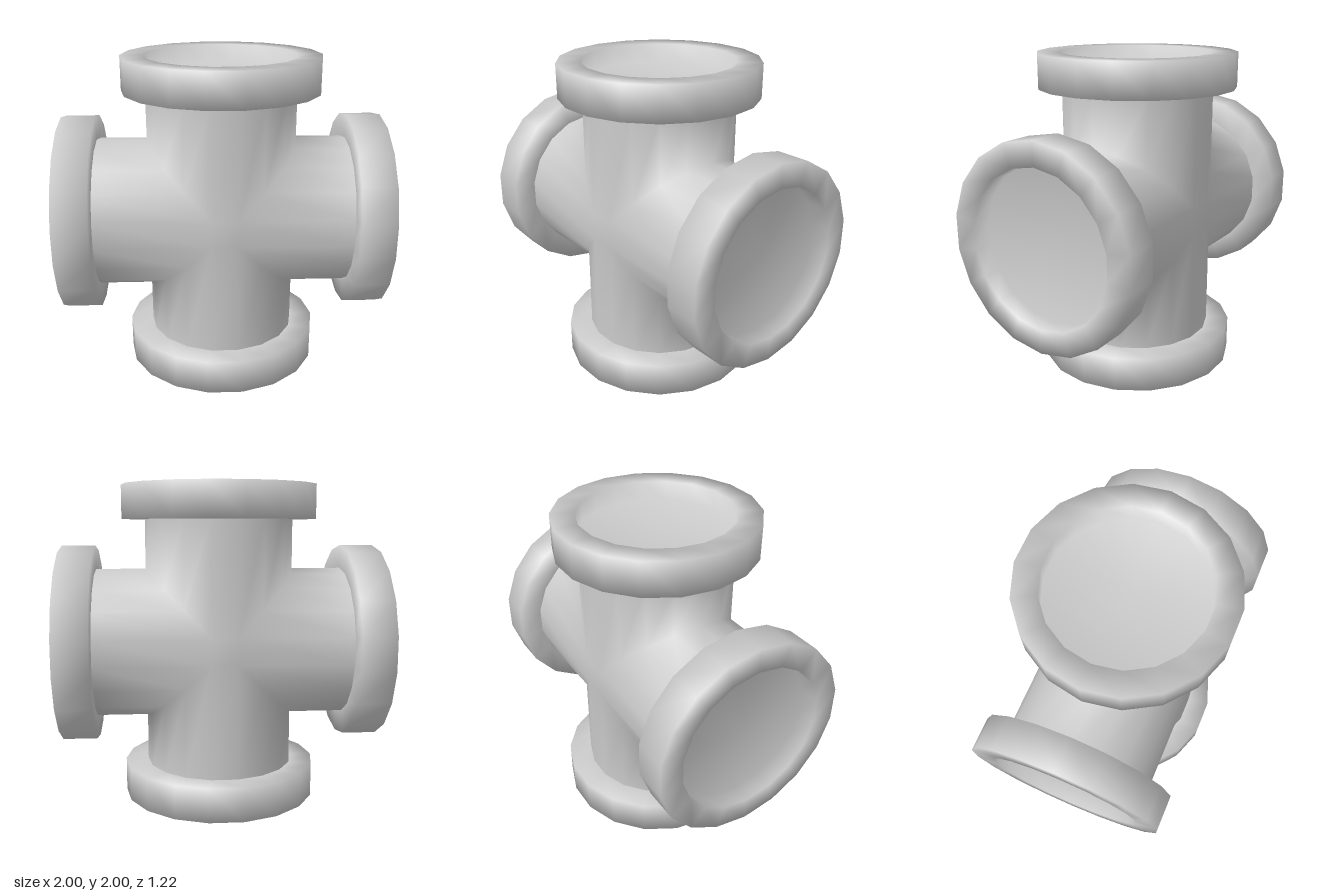
import * as THREE from 'three';
import { mergeGeometries, mergeVertices } from 'three/addons/utils/BufferGeometryUtils.js';

const SIDES = 18;
const PIPE_R = 0.473;
const COLLAR_R = 0.62;
const COLLAR_BACK = 0.787;
const CAP = 0.88; // height of the recessed cap inside each collar

// Collar: back ring, outer wall, front rim, recess wall and cap
function collarGeometry() {
  const profile = [
    [PIPE_R, COLLAR_BACK], [COLLAR_R, COLLAR_BACK], [COLLAR_R, 1],
    [PIPE_R, 1], [PIPE_R, CAP], [0, CAP],
  ].map(([r, y]) => new THREE.Vector2(r, y));
  return new THREE.LatheGeometry(profile, SIDES, Math.PI / 2);
}

// One arm of the cross, its inner end mitred against its neighbours
function armGeometry() {
  const geo = new THREE.CylinderGeometry(
    PIPE_R, PIPE_R, COLLAR_BACK, SIDES, 1, true, Math.PI / 2);
  geo.translate(0, COLLAR_BACK / 2, 0);
  const p = geo.attributes.position;
  for (let i = 0; i < p.count; i++) {
    if (p.getY(i) < 0.01) p.setY(i, Math.abs(p.getX(i)));
  }
  return geo;
}

// Four arms and the small flats at the crossing, welded into one smooth skin
function crossGeometry() {
  const parts = [];
  for (let i = 0; i < 4; i++) parts.push(armGeometry().rotateZ(i * Math.PI / 2));
  const half = Math.PI / SIDES;
  const flat = 2 * PIPE_R * Math.sin(half);
  for (const turn of [0, Math.PI]) {
    parts.push(new THREE.PlaneGeometry(flat, flat)
      .translate(0, 0, PIPE_R * Math.cos(half)).rotateY(turn));
  }
  const merged = mergeGeometries(parts);
  merged.deleteAttribute('uv');
  merged.deleteAttribute('normal');
  const skin = mergeVertices(merged, 1e-3);
  skin.computeVertexNormals();
  return skin;
}

export function createModel() {
  const model = new THREE.Group();
  model.name = 'crossPipeFitting';
  const material = new THREE.MeshStandardMaterial({ color: 0xcccccc, side: THREE.DoubleSide });

  const add = (name, geometry, angle) => {
    const mesh = new THREE.Mesh(geometry, material);
    mesh.name = name;
    mesh.position.y = 1;
    mesh.rotation.z = angle;
    model.add(mesh);
  };

  add('crossPipe', crossGeometry(), 0);

  // One collar on each of the four ends
  const collar = collarGeometry();
  ['topCollar', 'rightCollar', 'bottomCollar', 'leftCollar'].forEach((name, i) => {
    add(name, collar, i * Math.PI / 2);
  });

  return model;
}
